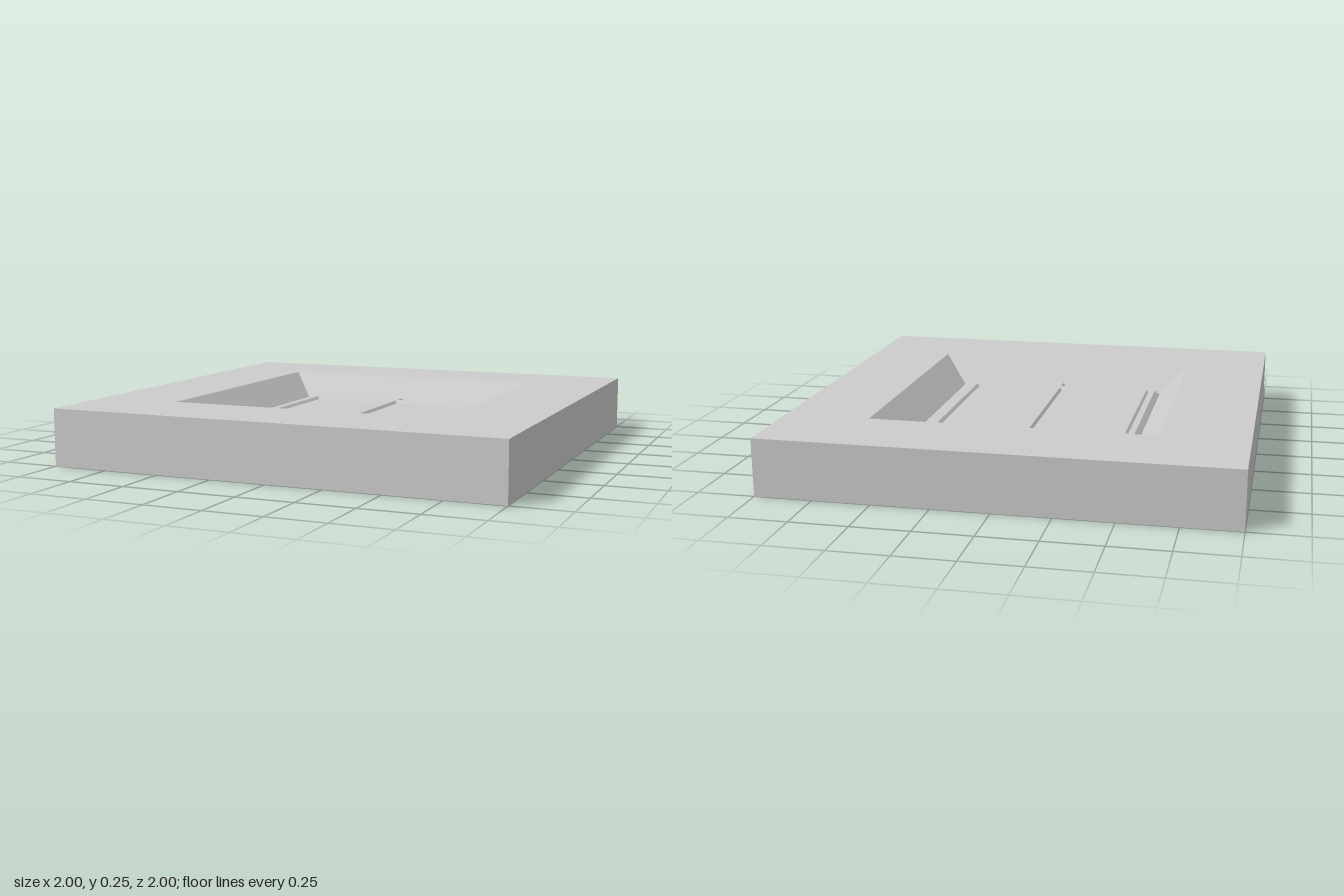
import * as THREE from 'three';

const MID = 0.125; // mid-plane of the wall
const material = new THREE.MeshStandardMaterial({ color: 0xcccccc, flatShading: true });

function addMesh(group, name, geometry) {
  const mesh = new THREE.Mesh(geometry, material);
  mesh.name = name;
  group.add(mesh);
  return mesh;
}

// Square ring swept from a closed profile of [half side, height above mid-plane]
function squareRing(profile) {
  const points = profile.map(([half, y]) => new THREE.Vector2(half * Math.SQRT2, MID + y));
  points.push(points[0].clone());
  const geometry = new THREE.LatheGeometry(points, 4, Math.PI / 4).toNonIndexed();
  geometry.computeVertexNormals();
  return geometry;
}

export function createModel() {
  const group = new THREE.Group();
  group.name = 'wallWindow';

  // Thick wall with an opening splayed on both faces
  addMesh(group, 'wall', squareRing([
    [0.5, 0], [0.625, -0.125], [1, -0.125], [1, 0.125], [0.625, 0.125],
  ]));

  // Stepped, bevelled frame around the pane
  addMesh(group, 'frame', squareRing([
    [0.4, -0.02], [0.478, -0.02], [0.5, 0], [0.478, 0.022], [0.45, 0.022],
    [0.44, 0.032], [0.412, 0.032], [0.4, 0.02],
  ]));

  // Flat pane, flush with the underside of the frame
  addMesh(group, 'pane', new THREE.BoxGeometry(0.8, 0.04, 0.8)).position.y = MID;

  // Central bar with chamfered edges, showing on both faces
  const section = new THREE.Shape([
    [-0.022, -0.02], [-0.012, -0.032], [0.012, -0.032], [0.022, -0.02],
    [0.022, 0.02], [0.012, 0.032], [-0.012, 0.032], [-0.022, 0.02],
  ].map(([x, y]) => new THREE.Vector2(x, y)));
  const bar = new THREE.ExtrudeGeometry(section, { depth: 1, bevelEnabled: false });
  bar.translate(0, MID, -0.5);
  addMesh(group, 'mullion', bar);

  return group;
}
